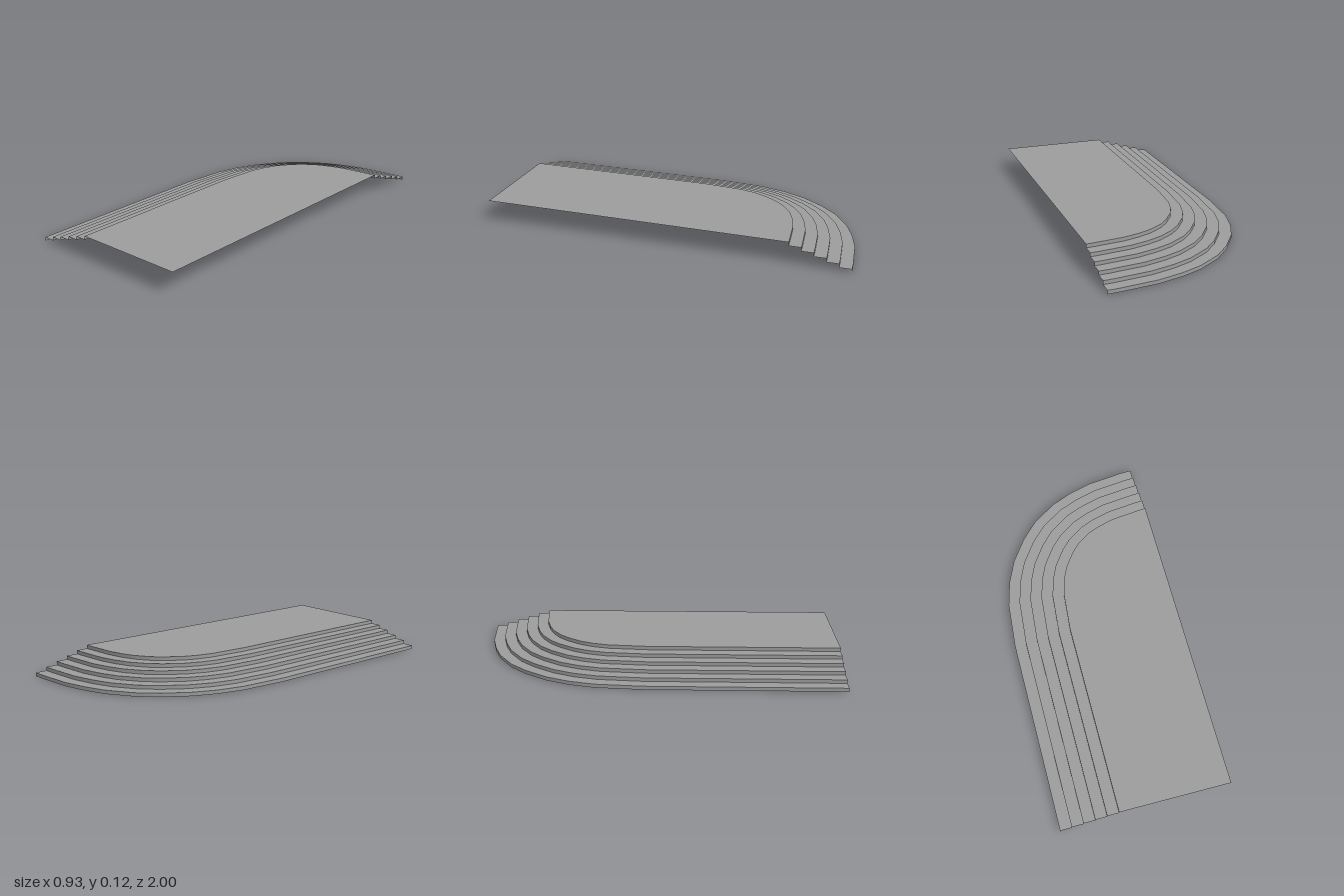
import * as THREE from 'three';

const STEPS = 6, RISE = 0.02, TREAD = 0.0643, EDGE = 0.467;

// Outer plan outline (x, z), from the straight front end round the back corner
const OUTLINE = [
  [-EDGE, 1], [-EDGE, -0.07], [-0.446, -0.325], [-0.41, -0.463], [-0.355, -0.587],
  [-0.267, -0.712], [-0.177, -0.805], [-0.045, -0.892], [0.071, -0.939],
  [0.204, -0.975], [0.405, -0.997], [EDGE, -1],
].map(([x, z]) => new THREE.Vector2(x, z));

// Inward normal of the segment from a to b
const segmentNormal = (a, b) => new THREE.Vector2(a.y - b.y, b.x - a.x).normalize();

// Outline moved inward by d with mitred corners; its ends stay on the open edges
function inset(d) {
  const last = OUTLINE.length - 1;
  return OUTLINE.map((p, i) => {
    if (i === 0) return new THREE.Vector2(p.x + d, p.y);
    if (i === last) return new THREE.Vector2(p.x, p.y + d);
    const n0 = segmentNormal(OUTLINE[i - 1], p);
    const n1 = segmentNormal(p, OUTLINE[i + 1]);
    const m = n0.clone().add(n1).normalize();
    return p.clone().addScaledVector(m, d / m.dot(n0));
  });
}

// Surface between two rows of plan points at heights ya and yb
function strip(rowA, ya, rowB, yb) {
  const positions = [], index = [];
  rowA.forEach((a, i) => {
    positions.push(a.x, ya, a.y, rowB[i].x, yb, rowB[i].y);
    if (i === 0) return;
    const k = 2 * (i - 1);
    index.push(k, k + 1, k + 2, k + 1, k + 3, k + 2);
  });
  const geometry = new THREE.BufferGeometry();
  geometry.setAttribute('position', new THREE.Float32BufferAttribute(positions, 3));
  geometry.setIndex(index);
  geometry.computeVertexNormals();
  return geometry;
}

export function createModel() {
  const group = new THREE.Group();
  group.name = 'curvedSteps';
  // Darker stone grey
  const material = new THREE.MeshStandardMaterial({ color: 0x9c9c9c, side: THREE.DoubleSide });
  const add = (name, geometry) => {
    const mesh = new THREE.Mesh(geometry, material);
    mesh.name = name;
    group.add(mesh);
  };

  for (let i = 0; i < STEPS; i++) {
    const row = inset(i * TREAD), y = (i + 1) * RISE;
    add(`riser${i + 1}`, strip(row, y - RISE, row, y));
    if (i < STEPS - 1) {
      add(`tread${i + 1}`, strip(row, y, inset((i + 1) * TREAD), y));
    } else {
      // Landing fills from the innermost outline to the straight side
      add('landing', strip(row, y, row.map((p) => new THREE.Vector2(EDGE, p.y)), y));
    }
  }
  return group;
}
